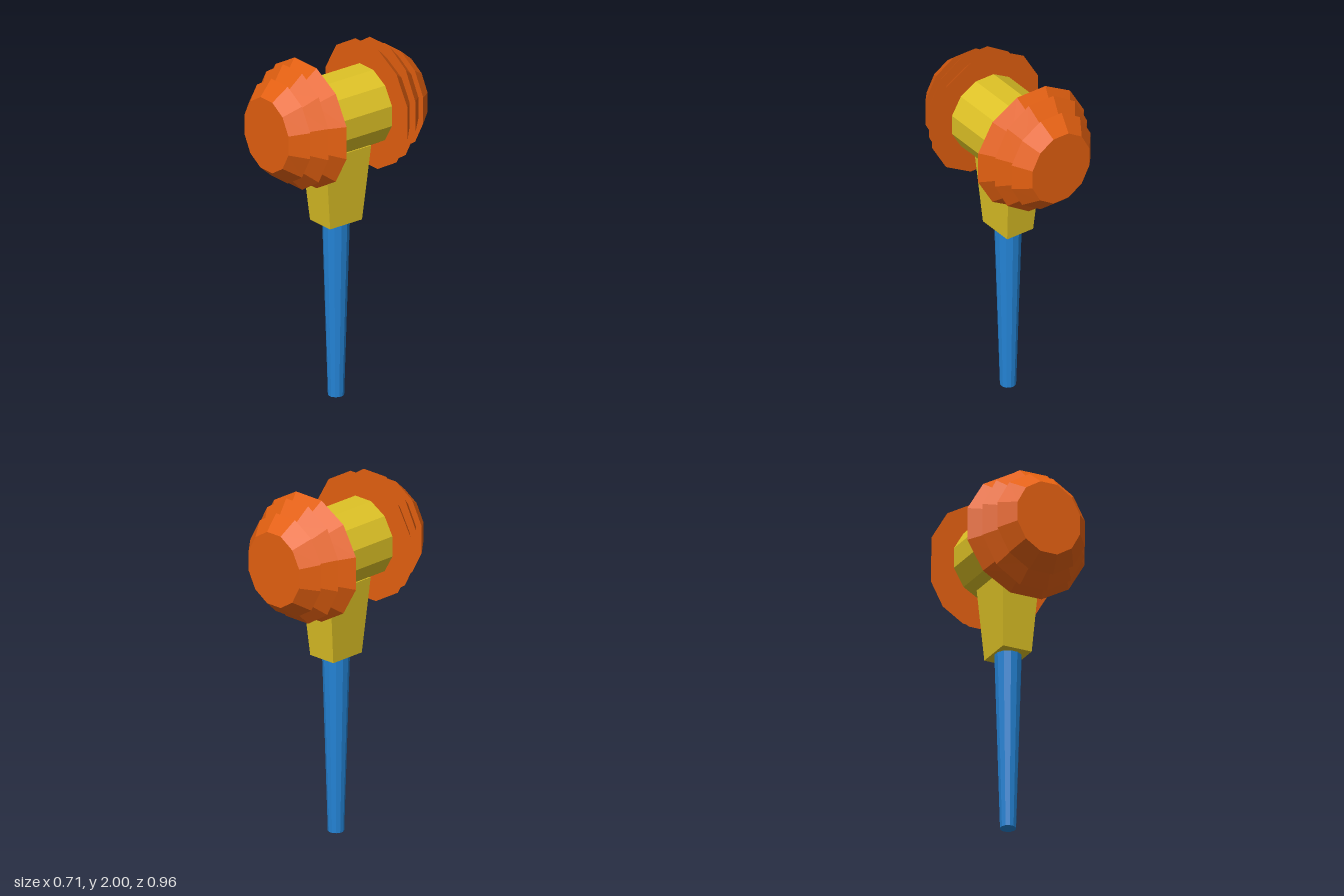
import * as THREE from 'three';

const SIDES = 12;

// Twelve-sided prism standing along y with flats on the axes.
// Each end is given as half-widths [x, z].
function taperedPrism(bottom, top, height, sides = SIDES) {
  const r = 1 / Math.cos(Math.PI / sides);
  const geo = new THREE.CylinderGeometry(r, r, height, sides, 1, false, Math.PI / sides);
  const p = geo.attributes.position;
  for (let i = 0; i < p.count; i++) {
    const [w, d] = p.getY(i) > 0 ? top : bottom;
    p.setX(i, p.getX(i) * w);
    p.setZ(i, p.getZ(i) * d);
  }
  geo.computeVertexNormals();
  return geo;
}

export function createModel() {
  const paint = (name, color) => {
    const m = new THREE.MeshStandardMaterial({ color, flatShading: true });
    m.name = name;
    return m;
  };
  const orange = paint('orange', 0xe46010);
  const yellow = paint('yellow', 0xdec226);
  const blue = paint('blue', 0x2484d6);

  const model = new THREE.Group();
  model.name = 'mallet';
  const add = (parent, name, geo, mat) => {
    const mesh = new THREE.Mesh(geo, mat);
    mesh.name = name;
    parent.add(mesh);
    return mesh;
  };

  // Handle, widening upwards
  const handle = taperedPrism([0.043, 0.043], [0.073, 0.073], 1.03);
  add(model, 'handle', handle, blue).position.y = 0.515;

  // Four-sided neck between handle and head
  const neck = taperedPrism([0.087, 0.11], [0.11, 0.155], 0.43, 4);
  add(model, 'neck', neck, yellow).position.y = 1.24;

  // Barrel of the head, lying along z
  const head = new THREE.Group();
  head.name = 'head';
  head.position.y = 1.648;
  model.add(head);
  const barrel = taperedPrism([0.22, 0.218], [0.22, 0.218], 0.42).rotateX(Math.PI / 2);
  add(head, 'barrel', barrel, yellow);

  // Three overlapping flared rings at each end: inner and outer half-widths
  const rings = [
    { inner: [0.355, 0.352], outer: [0.26, 0.262] },
    { inner: [0.309, 0.341], outer: [0.222, 0.242] },
    { inner: [0.265, 0.284], outer: [0.19, 0.207] },
  ];
  for (const [side, turn] of [['front', 0], ['back', Math.PI]]) {
    const end = new THREE.Group();
    end.name = side + 'Bumper';
    end.rotation.y = turn;
    head.add(end);
    rings.forEach(({ inner, outer }, i) => {
      const ring = taperedPrism(inner, outer, 0.09).rotateX(Math.PI / 2);
      add(end, side + 'Ring' + (i + 1), ring, orange).position.z = 0.255 + i * 0.09;
    });
  }

  return model;
}
